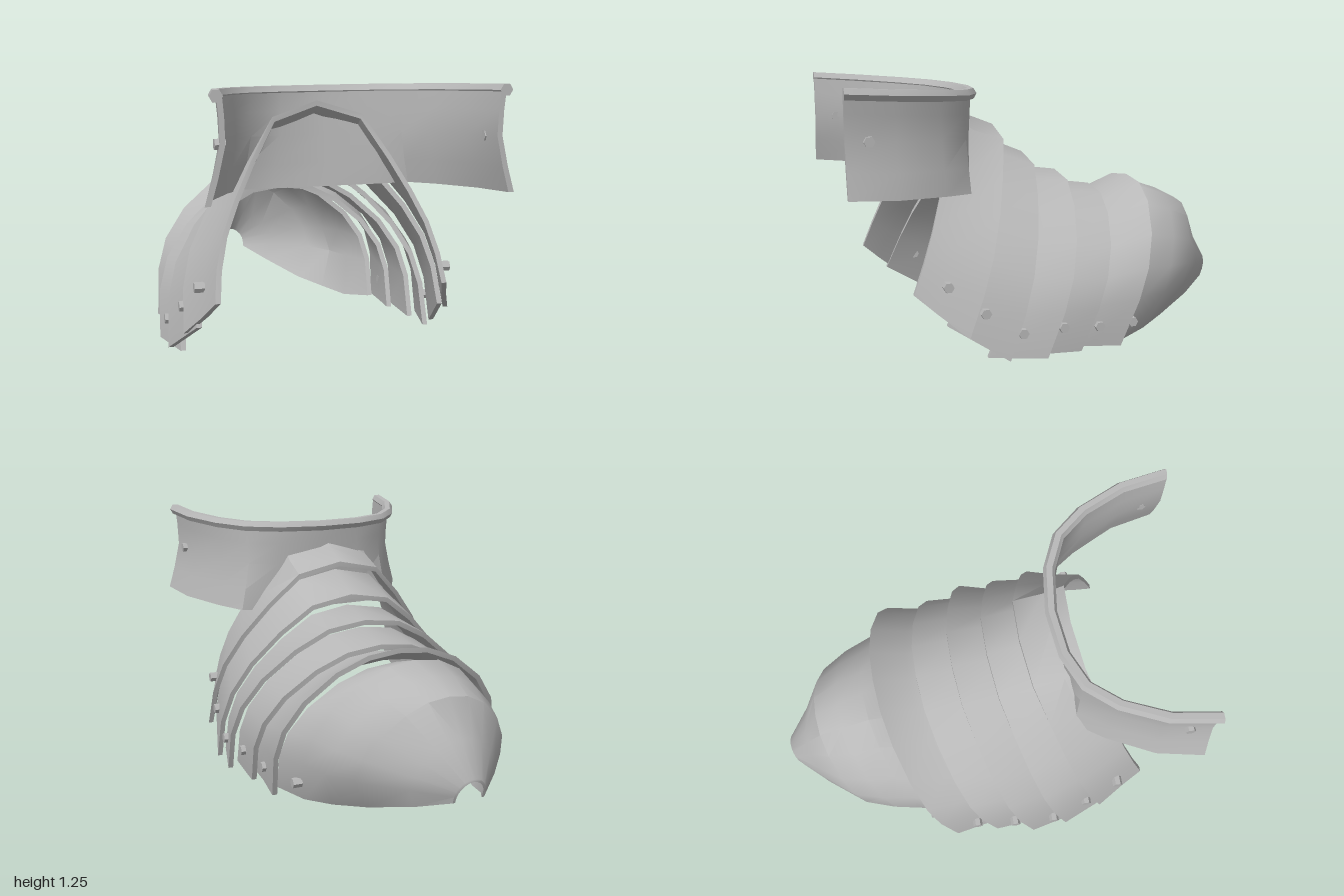
import * as THREE from 'three';
import { toCreasedNormals } from 'three/addons/utils/BufferGeometryUtils.js';

const steel = new THREE.MeshStandardMaterial({ color: 0xb8b8b8 });
steel.name = 'steel';

// Half arches from foot to crown: [share of half width, share of height]
const ROUND = [[1, 0], [1, 0.3], [0.94, 0.5], [0.78, 0.7], [0.52, 0.88], [0.26, 0.975], [0, 1]];
const POINTED = [[1, 0], [0.97, 0.16], [0.9, 0.33], [0.78, 0.5], [0.62, 0.69], [0.4, 0.92], [0, 1]];

// The bands and end plate sit slightly turned: z drops by this much per unit of x
const SKEW = 0.065;

// Solid skin through closed loops of equal length, with capped ends
function loft(loops) {
  const n = loops[0].length, last = loops.length - 1, pos = [];
  const quad = (a, b, c, d) => [a, b, c, a, c, d].forEach((p) => pos.push(...p));
  for (let i = 0; i < last; i++) {
    for (let j = 0; j < n; j++) {
      const k = (j + 1) % n;
      quad(loops[i][j], loops[i + 1][j], loops[i + 1][k], loops[i][k]);
    }
  }
  for (let k = 0; k < n / 2 - 1; k++) {
    const s = [k, k + 1, n - 2 - k, n - 1 - k];
    quad(...s.map((j) => loops[0][j]));
    quad(...s.reverse().map((j) => loops[last][j]));
  }
  const geo = new THREE.BufferGeometry();
  geo.setAttribute('position', new THREE.Float32BufferAttribute(pos, 3));
  return toCreasedNormals(geo, 0.65);
}

// Leaning arch; top and foot are [y, z], point blends round to pointed, tuck pulls the feet in
function arch({ top, foot, w, xTop = 0, xFoot = 0, point = 0, tuck = 1 }, inset) {
  const half = ROUND.map(([x, h], i) => [
    (x + (POINTED[i][0] - x) * point) * (i === 0 ? tuck : 1),
    h + (POINTED[i][1] - h) * point,
  ]);
  const place = (sx, h) => [
    sx * (w - inset) + xFoot + (xTop - xFoot) * h,
    foot[0] + (top[0] - inset - foot[0]) * h,
    foot[1] + (top[1] - foot[1]) * h - SKEW * sx * w,
  ];
  return [
    ...half.map(([x, h]) => place(x, h)),
    ...half.slice(0, -1).reverse().map(([x, h]) => place(-x, h)),
  ];
}

const shell = (sections) =>
  loft(sections.map((s) => [...arch(s, 0), ...arch(s, s.thick ?? 0.024).reverse()]));

export function createModel() {
  const model = new THREE.Group();
  const add = (name, geo) => {
    const mesh = new THREE.Mesh(geo, steel);
    mesh.name = name;
    model.add(mesh);
    return mesh;
  };

  // Overlapping bands, front edge to rear edge
  const bands = [
    [{ top: [1.15, 0.43], foot: [0.34, 0.735], w: 0.535, point: 1 },
      { top: [1.075, 0.34], foot: [0.26, 0.645], w: 0.575, point: 0.85 },
      { top: [1.02, 0.2], foot: [0.155, 0.52], w: 0.64, point: 0.6 }],
    [{ top: [0.97, 0.27], foot: [0.2, 0.6], w: 0.585, xFoot: -0.01, point: 0.6 },
      { top: [0.88, 0.05], foot: [0.035, 0.34], w: 0.665, xFoot: -0.02, point: 0.4 }],
    [{ top: [0.815, 0.11], foot: [0.04, 0.42], w: 0.61, xFoot: -0.03, point: 0.4 },
      { top: [0.785, -0.12], foot: [0.03, 0.165], w: 0.67, xFoot: -0.03, point: 0.2 }],
    [{ top: [0.738, -0.06], foot: [0.03, 0.24], w: 0.605, xFoot: -0.035, point: 0.2 },
      { top: [0.705, -0.3], foot: [0.025, -0.02], w: 0.62, xFoot: -0.045, point: 0.1 }],
    [{ top: [0.662, -0.24], foot: [0.03, 0.06], w: 0.57, xFoot: -0.045, point: 0.1 },
      { top: [0.665, -0.34], foot: [0.03, -0.06], w: 0.578, xFoot: -0.05 },
      { top: [0.74, -0.51], foot: [0.02, -0.23], w: 0.6, xFoot: -0.06 }],
  ];
  bands.forEach((b, i) => add(`band${i + 1}`, shell(b)));

  // Closing end plate narrowing to a small arched opening
  add('endPlate', shell([
    { top: [0.65, -0.42], foot: [0.03, -0.165], w: 0.545, xTop: -0.02, xFoot: -0.05 },
    { top: [0.695, -0.57], foot: [0.005, -0.31], w: 0.49, xTop: -0.05, xFoot: -0.05, tuck: 0.93 },
    { top: [0.65, -0.7], foot: [0.02, -0.455], w: 0.45, xTop: -0.07, xFoot: -0.06, tuck: 0.84 },
    { top: [0.59, -0.82], foot: [0.045, -0.6], w: 0.385, xTop: -0.09, xFoot: -0.08, tuck: 0.76 },
    { top: [0.42, -0.9], foot: [0.105, -0.81], w: 0.22, xTop: -0.11, xFoot: -0.11, tuck: 0.85 },
    { top: [0.27, -1], foot: [0.16, -0.96], w: 0.08, xTop: -0.12, xFoot: -0.12, thick: 0.012 },
  ]));

  // Upright collar, open to the front; half outlines run from the open end to the back
  const CX = 0.045, END = 0.99;
  const mirrored = (half) => [...half, ...half.slice(0, -1).reverse().map(([x, z]) => [-x, z])];
  const topPath = mirrored([[0.605, END], [0.57, 0.77], [0.48, 0.57], [0.37, 0.44], [0.21, 0.37], [0, 0.345]]);
  const lowPath = mirrored([[0.655, END], [0.61, 0.77], [0.5, 0.55], [0.41, 0.42], [0.26, 0.4], [0, 0.39]]);
  const levels = [[0, 1], [0.25, 0.97], [0.55, 0.945], [0.8, 0.97], [1, 1]];
  const rise = (z) => (z - 0.345) / (END - 0.345);
  add('collar', loft(topPath.map(([x, z], i) => {
    const [lx, lz] = lowPath[i];
    const low = 0.755 + 0.045 * rise(z), high = 1.185 + 0.05 * rise(z);
    const wall = (t) => levels.map(([h, waist]) => [
      CX + (lx + (x - lx) * h) * waist * t,
      low + (high - low) * h,
      END - (END - lz - (z - lz) * h) * t,
    ]);
    return [...wall(1), ...wall(0.962).reverse()];
  })));

  // Six-sided rolled rim along the collar top
  add('collarRim', loft(topPath.map(([x, z]) => {
    const len = Math.hypot(x, z - END);
    return Array.from({ length: 6 }, (_, j) => {
      const a = (j * Math.PI) / 3, out = 0.028 * Math.cos(a);
      return [
        CX + x * (1 + out / len),
        1.188 + 0.04 * rise(z) + 0.028 * Math.sin(a),
        END + (z - END) * (1 + out / len),
      ];
    });
  })));

  // Hexagonal rivets on both sides: [x offset, half spacing, y, left z, skew]
  const rivetGeo = toCreasedNormals(new THREE.CylinderGeometry(0.024, 0.024, 0.045, 6), 0.5);
  const rivets = [
    [CX, 0.575, 1.03, 0.89, 0], [0, 0.58, 0.38, 0.56, SKEW], [-0.01, 0.615, 0.255, 0.4, SKEW],
    [-0.03, 0.638, 0.15, 0.23, SKEW], [-0.04, 0.62, 0.15, 0.03, SKEW],
    [-0.05, 0.585, 0.125, -0.16, SKEW], [-0.05, 0.5, 0.105, -0.36, SKEW],
  ];
  rivets.forEach(([cx, half, y, z, skew], i) => {
    for (const s of [1, -1]) {
      const rivet = add(`${s > 0 ? 'left' : 'right'}Rivet${i + 1}`, rivetGeo);
      rivet.rotation.z = Math.PI / 2;
      rivet.position.set(cx + s * half, y, z + skew * half * (1 - s));
    }
  });

  return model;
}
